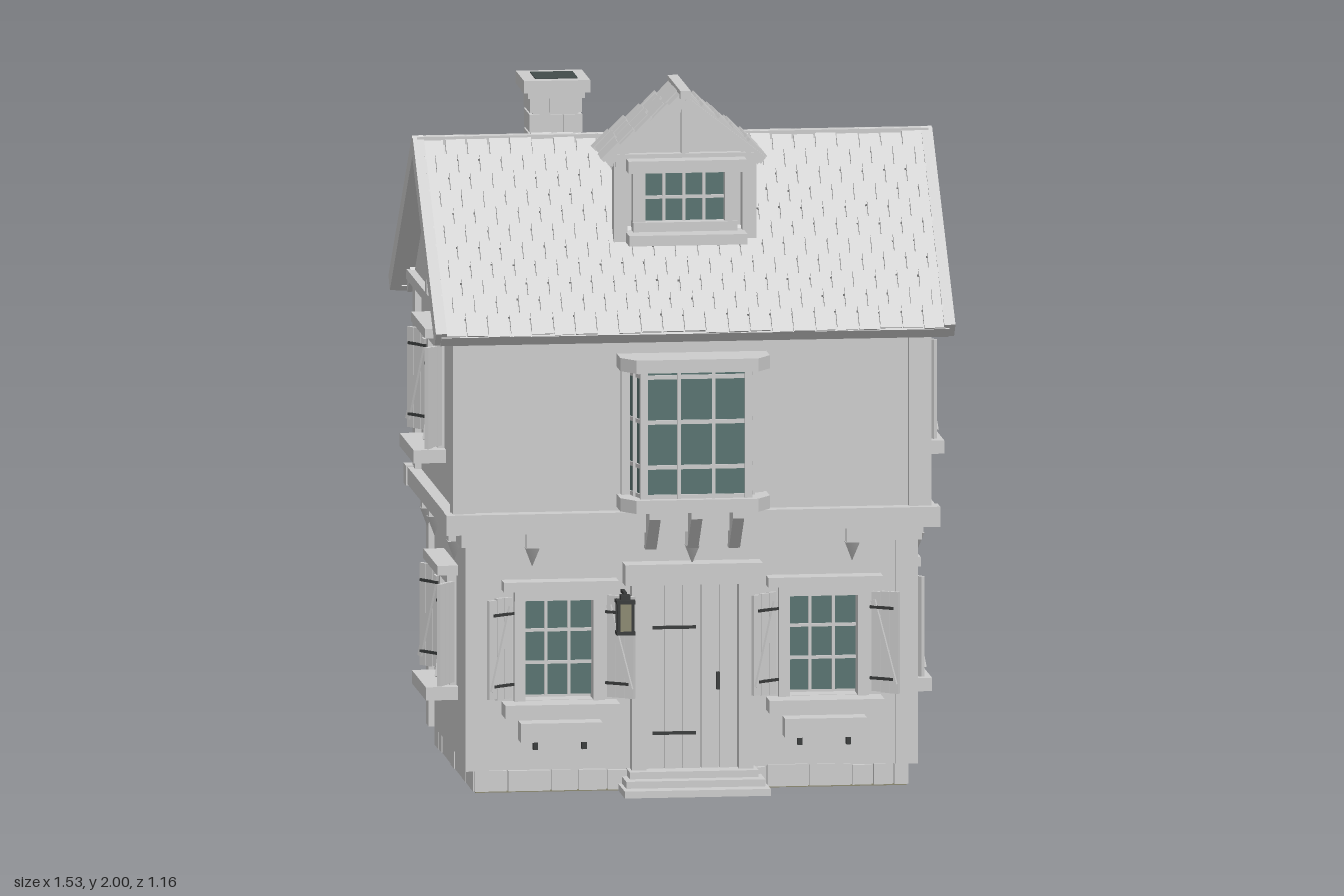
import * as THREE from 'three';
import { mergeGeometries } from 'three/addons/utils/BufferGeometryUtils.js';

const mat = (name, color) => Object.assign(new THREE.MeshStandardMaterial({ color }), { name });
const grey = mat('pale grey', 0xcccccc);
const glass = mat('teal glass', 0x587370);
const iron = mat('dark iron', 0x383a3a);
const soot = mat('soot', 0x424c4b);
const olive = mat('olive', 0x8c8971);

const MID = -0.02; // z of the house axis
let seed = 7;
const rand = () => (seed = (seed * 16807) % 2147483647) / 2147483647;
const jitter = a => (rand() - 0.5) * 2 * a;

function group(parent, name, x = 0, y = 0, z = 0, ry = 0) {
  const g = new THREE.Group();
  g.name = name;
  g.position.set(x, y, z);
  g.rotation.y = ry;
  parent.add(g);
  return g;
}
function add(parent, name, geo, m, x = 0, y = 0, z = 0) {
  const mesh = new THREE.Mesh(geo, m);
  mesh.name = name;
  mesh.position.set(x, y, z);
  parent.add(mesh);
  return mesh;
}
const box = (p, name, m, w, h, d, x, y, z) => add(p, name, new THREE.BoxGeometry(w, h, d), m, x, y, z);
// Box geometry placed in space, for merging
const block = (w, h, d, x, y, z, rx = 0) => new THREE.BoxGeometry(w, h, d).rotateX(rx).translate(x, y, z);
const poly = pts => new THREE.Shape(pts.map(p => new THREE.Vector2(...p)));
const extrude = (shape, depth) => new THREE.ExtrudeGeometry(shape, { depth, bevelEnabled: false });
// Plan outline (x, z) extruded downward from y = 0
const slab = (pts, h) => extrude(poly(pts), h).rotateX(Math.PI / 2);
// Bar between two points of an xy plane
function bar(p, name, m, x1, y1, x2, y2, t, d, z) {
  const b = box(p, name, m, Math.hypot(x2 - x1, y2 - y1), t, d, (x1 + x2) / 2, (y1 + y2) / 2, z);
  b.rotation.z = Math.atan2(y2 - y1, x2 - x1);
  return b;
}

// Wall panel with window openings, outer face at local z = 0
function wall(p, name, w, y0, y1, holes) {
  const s = poly([[-w / 2, y0], [w / 2, y0], [w / 2, y1], [-w / 2, y1]]);
  for (const [x, y] of holes) {
    const h = new THREE.Path();
    h.moveTo(x - 0.11, y - 0.15).lineTo(x - 0.11, y + 0.15).lineTo(x + 0.11, y + 0.15).lineTo(x + 0.11, y - 0.15);
    s.holes.push(h);
  }
  add(p, name, extrude(s, 0.06), grey, 0, 0, -0.06);
}

// Glazing with bars
function panes(p, w, h, z, cols, rows) {
  box(p, 'glass', glass, w, h, 0.008, 0, 0, z);
  for (let i = 1; i < cols; i++) box(p, 'glazingBar', grey, 0.009, h, 0.012, -w / 2 + (w * i) / cols, 0, z + 0.006);
  for (let i = 1; i < rows; i++) box(p, 'glazingBar', grey, w, 0.009, 0.012, 0, -h / 2 + (h * i) / rows, z + 0.006);
}

function shutteredWindow(p, x, y, planter) {
  const g = group(p, 'window', x, y, 0);
  panes(g, 0.2, 0.28, -0.045, 3, 3);
  for (const s of [-1, 1]) {
    box(g, 'jamb', grey, 0.032, 0.31, 0.075, s * 0.114, 0, -0.018);
    // Open shutter swung away from the wall
    const sh = group(g, 'shutter', s * 0.138, 0.005, 0.012, s > 0 ? -0.6 : Math.PI + 0.6);
    const f = s; // face turned to the front
    for (let i = 0; i < 3; i++) box(sh, 'shutterBoard', grey, 0.027, 0.29 + jitter(0.005), 0.012, 0.016 + i * 0.029, 0, 0);
    bar(sh, 'shutterBrace', grey, 0.01, 0.12, 0.08, -0.12, 0.014, 0.01, f * 0.009);
    for (const hy of [-0.105, 0.1]) box(sh, 'shutterHinge', iron, 0.075, 0.008, 0.006, 0.038, hy, f * 0.012);
  }
  box(g, 'head', grey, 0.26, 0.03, 0.085, 0, 0.155, -0.015);
  box(g, 'lintel', grey, 0.33, 0.028, 0.06, 0, 0.185, 0.03);
  box(g, 'sill', grey, 0.33, 0.038, 0.15, 0, -0.17, 0.018);
  if (!planter) return;
  box(g, 'planterBox', grey, 0.235, 0.055, 0.065, 0, -0.235, 0.037);
  for (const s of [-1, 1]) box(g, 'planterBracket', iron, 0.014, 0.03, 0.02, s * 0.07, -0.275, 0.02);
}

// One storey: four walls with windows and corner posts
function storey(root, name, hx, hz, y0, y1, frontWins, winY, postOut) {
  const st = group(root, name, 0, 0, MID);
  const sides = [['front', 0, hz, hx], ['right', Math.PI / 2, hx, hz], ['back', Math.PI, hz, hx], ['left', -Math.PI / 2, hx, hz]];
  for (const [n, ry, out, half] of sides) {
    const g = group(st, n + 'Wall', Math.sin(ry) * out, 0, Math.cos(ry) * out, ry);
    const xs = n === 'front' ? frontWins : [0];
    wall(g, n + 'Plaster', half * 2 - (n === 'front' || n === 'back' ? 0 : 0.01), y0, y1, xs.map(x => [x, winY]));
    xs.forEach(x => shutteredWindow(g, x, winY, n === 'front'));
  }
  for (const sx of [-1, 1]) for (const sz of [-1, 1])
    box(st, 'cornerPost', grey, 0.065, y1 - y0, 0.065, sx * (hx + postOut - 0.0325), (y0 + y1) / 2, sz * (hz + postOut - 0.0325));
}

// Tiled slope: local z runs down the slope, local x along the ridge
function slope(p, w, len, angle, rows, cols, flip) {
  const g = group(p, 'roofSlope');
  g.rotation.set(angle, flip ? Math.PI : 0, 0, 'YXZ');
  box(g, 'roofDeck', grey, w, 0.025, len, 0, -0.0125, len / 2);
  const tiles = [], step = len / rows, tw = w / cols;
  for (let r = 0; r < rows; r++) {
    const n = cols + (r % 2);
    for (let c = 0; c < n; c++) {
      const half = r % 2 && (c === 0 || c === n - 1);
      const x = r % 2 ? -w / 2 + tw * (c === 0 ? 0.25 : c === n - 1 ? cols - 0.25 : c) : -w / 2 + tw * (c + 0.5);
      tiles.push(block((half ? tw / 2 : tw) * (0.93 + jitter(0.05)), 0.012, step * 1.2, x, 0.009 + jitter(0.002), step * (r + 0.52) + jitter(0.005), 0.13));
    }
  }
  add(g, 'roofTiles', mergeGeometries(tiles), grey);
  return g;
}

function mainRoof(root) {
  const r = group(root, 'mainRoof', 0, 1.812, MID);
  const a = Math.atan2(0.48, 0.54), len = 0.72;
  for (const flip of [false, true]) {
    const s = slope(r, 1.44, len, a, 11, 23, flip);
    for (const sx of [-1, 1]) box(s, 'bargeBoard', grey, 0.032, 0.05, len + 0.015, sx * 0.731, -0.005, len / 2);
    box(s, 'eaveBoard', grey, 1.46, 0.035, 0.022, 0, -0.012, len);
    const tails = [];
    for (let i = -6; i <= 6; i++) tails.push(block(0.018, 0.02, 0.1, i * 0.115, -0.035, len - 0.055));
    add(s, 'rafterTails', mergeGeometries(tails), grey);
  }
  box(r, 'ridgeBeam', grey, 1.47, 0.024, 0.035, 0, 0.006, 0);
  // Attic prism with timbered gable ends
  const prism = extrude(poly([[-0.49, -0.48], [0.49, -0.48], [0, -0.03]]), 1.37).rotateY(Math.PI / 2);
  add(r, 'attic', prism, grey, -0.685, 0, 0);
  for (const s of [-1, 1]) {
    box(r, 'gableTie', grey, 0.035, 0.03, 0.94, s * 0.69, -0.45, 0);
    box(r, 'kingPost', grey, 0.035, 0.42, 0.036, s * 0.69, -0.24, 0);
  }
}

function dormer(root) {
  const d = group(root, 'dormer');
  box(d, 'dormerBody', grey, 0.37, 0.31, 0.235, 0, 1.655, 0.1275);
  const roof = group(d, 'dormerRoof', 0, 1.972, 0.145, Math.PI / 2);
  const a = Math.atan2(0.175, 0.225), len = 0.285;
  for (const flip of [false, true]) slope(roof, 0.27, len, a, 5, 5, flip);
  box(d, 'dormerRidge', grey, 0.03, 0.024, 0.31, 0, 1.984, 0.147);
  add(d, 'dormerGable', extrude(poly([[-0.2, 1.8], [0.2, 1.8], [0, 1.955]]), 0.24), grey, 0, 0, 0.025);
  for (const z of [0.015, 0.278]) {
    for (const s of [-1, 1]) bar(d, 'dormerBarge', grey, 0, 1.966, s * 0.225, 1.79, 0.024, 0.028, z);
    box(d, 'dormerKingPost', grey, 0.022, 0.14, 0.026, 0, 1.885, z);
    box(d, 'dormerTie', grey, 0.4, 0.035, 0.03, 0, 1.797, z);
  }
  for (const s of [-1, 1]) {
    box(d, 'dormerPost', grey, 0.04, 0.24, 0.045, s * 0.185, 1.675, 0.265);
    box(d, 'dormerJamb', grey, 0.035, 0.19, 0.045, s * 0.132, 1.685, 0.265);
    box(d, 'dormerPurlin', grey, 0.095, 0.018, 0.02, s * 0.19, 1.77, -0.093);
  }
  const w = group(d, 'dormerWindow', 0, 1.685, 0.25);
  panes(w, 0.23, 0.14, 0, 4, 2);
  box(d, 'dormerLintel', grey, 0.34, 0.035, 0.1, 0, 1.785, 0.3);
  box(d, 'dormerSubSill', grey, 0.3, 0.03, 0.05, 0, 1.602, 0.27);
  box(d, 'dormerSill', grey, 0.34, 0.03, 0.12, 0, 1.575, 0.305);
}

function chimney(root) {
  const c = group(root, 'chimney', -0.328, 0, -0.135);
  box(c, 'chimneyCore', grey, 0.13, 0.36, 0.125, 0, 1.76, 0);
  // Courses of stones with staggered joints
  const stones = [];
  for (let r = 0; r < 6; r++) {
    const y = 1.625 + r * 0.057, k = r % 2 ? 0.02 : -0.02;
    for (const s of [-1, 1]) {
      const w = 0.073 + s * k;
      stones.push(block(w, 0.051, 0.142 + jitter(0.008), s * (0.0755 - w / 2), y, 0));
    }
  }
  add(c, 'chimneyStones', mergeGeometries(stones), grey);
  box(c, 'chimneyNeck', grey, 0.165, 0.02, 0.165, 0, 1.937, 0);
  box(c, 'chimneyCap', grey, 0.19, 0.036, 0.2, 0, 1.963, 0);
  box(c, 'flue', soot, 0.122, 0.008, 0.122, 0.002, 1.98, 0.004);
}

function bayWindow(root) {
  const b = group(root, 'bayWindow', 0, 0, 0.43);
  const plan = (fx, bx, z) => [[-bx, -0.03], [bx, -0.03], [fx, z], [-fx, z]];
  add(b, 'bayGlass', slab(plan(0.15, 0.19, 0.115), 0.38), glass, 0, 1.23, 0);
  for (const y of [1.263, 0.858]) add(b, 'bayCap', slab([[-0.215, -0.03], [0.215, -0.03], [0.215, 0.09], [0.175, 0.148], [-0.175, 0.148], [-0.215, 0.09]], 0.038), grey, 0, y, 0);
  for (const s of [-1, 1]) {
    box(b, 'bayPost', grey, 0.022, 0.38, 0.022, s * 0.15, 1.04, 0.115);
    box(b, 'bayWallPost', grey, 0.024, 0.38, 0.035, s * 0.192, 1.04, 0.01);
    box(b, 'bayMullion', grey, 0.01, 0.38, 0.016, s * 0.05, 1.04, 0.116);
    box(b, 'baySideMullion', grey, 0.014, 0.38, 0.012, s * 0.168, 1.04, 0.06);
  }
  for (const y of [0.87, 0.955, 1.085, 1.215])
    add(b, 'bayRail', slab(plan(0.154, 0.195, 0.121), 0.012), grey, 0, y, 0);
  // Wedge brackets below the bay
  for (const x of [-0.12, 0, 0.12]) {
    const g = extrude(poly([[0, 0.83], [0, 0.7], [0.035, 0.7], [0.135, 0.8], [0.135, 0.83]]), 0.032).rotateY(-Math.PI / 2);
    add(b, 'bayBracket', g, grey, x + 0.016, 0, 0);
  }
}

function doorway(root) {
  const d = group(root, 'doorway', 0, 0, 0.425);
  for (let i = 0; i < 5; i++) box(d, 'doorPlank', grey, 0.05, 0.55, 0.02, -0.106 + i * 0.053, 0.33, 0.003);
  for (const s of [-1, 1]) box(d, 'doorPost', grey, 0.042, 0.55, 0.055, s * 0.154, 0.335, 0.015);
  box(d, 'doorLintel', grey, 0.395, 0.06, 0.1, 0, 0.63, 0.02);
  for (const y of [0.165, 0.47]) box(d, 'doorHinge', iron, 0.125, 0.009, 0.008, -0.05, y, 0.015);
  box(d, 'doorHandle', iron, 0.01, 0.05, 0.02, 0.075, 0.315, 0.02);
  [[0.21, 0.16], [0.2, 0.115], [0.185, 0.075]].forEach(([hx, z], i) =>
    box(d, 'doorStep', grey, hx * 2, 0.02, z + 0.03, 0, 0.0105 + i * 0.021, (z - 0.03) / 2));
  // Lantern on the door post
  const l = group(d, 'lantern', -0.197, 0.51, 0.062);
  box(l, 'lanternGlass', olive, 0.038, 0.08, 0.038, 0, 0, 0);
  for (const s of [-1, 1]) {
    box(l, 'lanternPlate', iron, 0.054, 0.01, 0.054, 0, s * 0.045, 0);
    for (const t of [-1, 1]) box(l, 'lanternBar', iron, 0.008, 0.085, 0.008, s * 0.02, 0, t * 0.02);
  }
  box(l, 'lanternTop', iron, 0.028, 0.015, 0.028, 0, 0.056, 0);
  box(l, 'lanternArm', iron, 0.01, 0.01, 0.07, 0, 0.066, -0.03);
}

function foundation(root) {
  const f = group(root, 'foundation', 0, 0, MID);
  box(f, 'foundationCore', grey, 1.22, 0.064, 0.87, 0, 0.034, 0);
  box(f, 'underside', olive, 1.24, 0.004, 0.89, 0, 0.002, 0);
  const stones = [];
  const run = (half, make) => {
    for (let t = -half; t < half - 0.01;) {
      const w = Math.min(0.06 + rand() * 0.07, half - t);
      make(w - 0.006, t + w / 2, 0.055 + rand() * 0.009, 0.04 + rand() * 0.01);
      t += w;
    }
  };
  for (const s of [-1, 1]) {
    run(0.625, (w, t, h, d) => stones.push(block(w, h, d, t, 0.004 + h / 2, s * 0.43)));
    run(0.45, (w, t, h, d) => stones.push(block(d, h, w, s * 0.604, 0.004 + h / 2, t)));
  }
  add(f, 'foundationStones', mergeGeometries(stones), grey);
}

// Jetty beams between the storeys, with carved pendants
function jetty(root) {
  const j = group(root, 'jetty', 0, 0, MID - 0.005);
  box(j, 'jettyFloor', grey, 1.36, 0.05, 0.95, 0, 0.775, 0);
  box(j, 'lowerBeam', grey, 1.325, 0.04, 0.935, 0, 0.73, 0);
  for (const s of [-1, 1]) {
    box(j, 'longBeam', grey, 1.42, 0.058, 0.06, 0, 0.781, s * 0.475);
    box(j, 'crossBeam', grey, 0.06, 0.05, 1.0, s * 0.675, 0.781, 0);
  }
  const pendant = (x, z) => {
    box(j, 'pendantBlock', grey, 0.036, 0.045, 0.036, x, 0.73, z);
    const tip = add(j, 'pendantTip', new THREE.ConeGeometry(0.028, 0.055, 4), grey, x, 0.682, z);
    tip.rotation.set(Math.PI, Math.PI / 4, 0);
  };
  for (const s of [-1, 1]) {
    for (const x of [-0.46, 0, 0.46]) pendant(x, s * 0.475);
    for (const z of [0.32, -0.145, -0.31]) pendant(s * 0.665, z);
  }
}

export function createModel() {
  const root = new THREE.Group();
  root.name = 'cottage';
  foundation(root);
  storey(root, 'groundFloor', 0.635, 0.445, 0.064, 0.75, [-0.38, 0.38], 0.415, 0.016);
  storey(root, 'upperFloor', 0.67, 0.457, 0.8, 1.345, [], 1.1, 0.018);
  jetty(root);
  mainRoof(root);
  dormer(root);
  chimney(root);
  bayWindow(root);
  doorway(root);
  return root;
}
